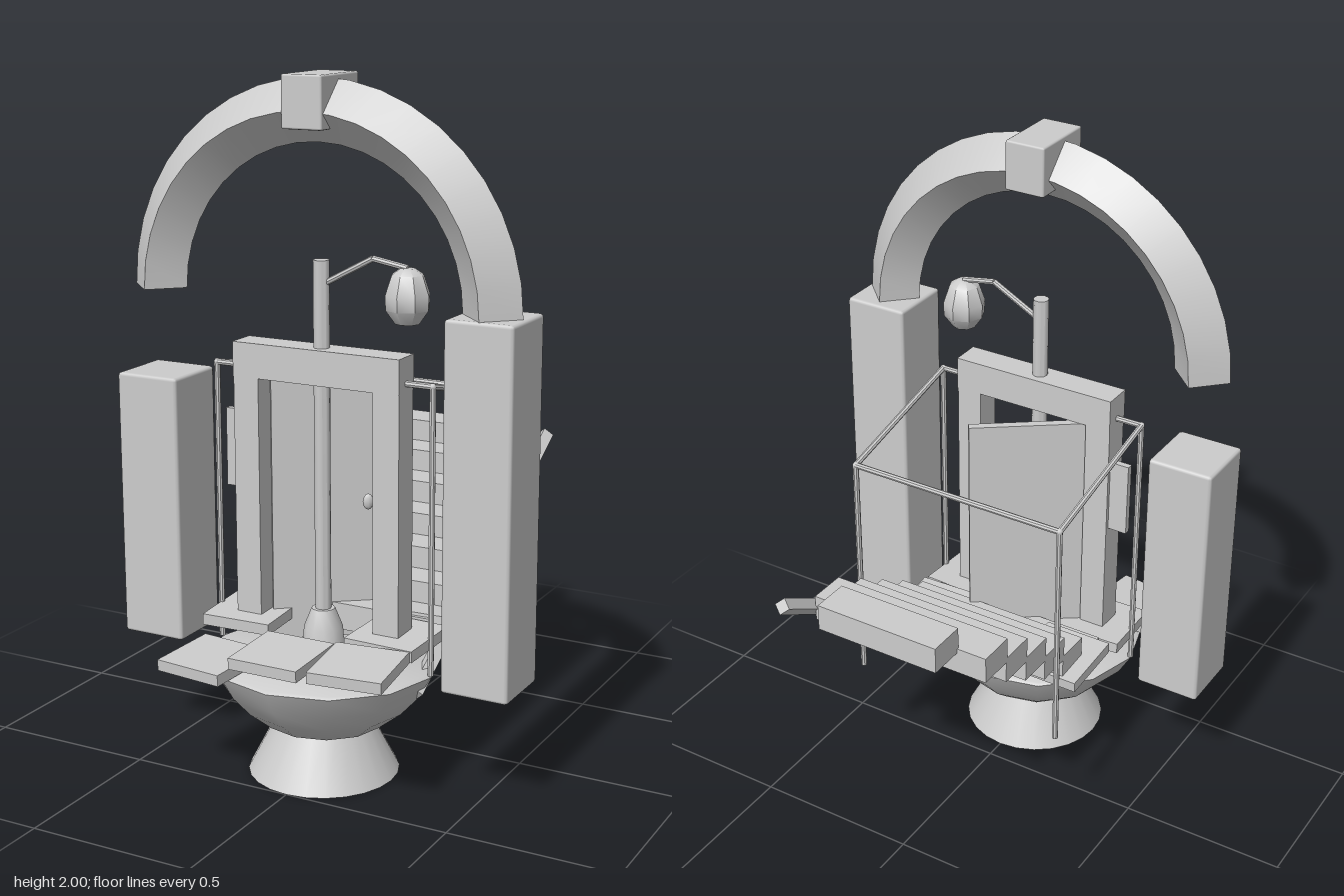
import * as THREE from 'three';
import { toCreasedNormals } from 'three/addons/utils/BufferGeometryUtils.js';
import { RoundedBoxGeometry } from 'three/addons/geometries/RoundedBoxGeometry.js';

const CZ = 0.28; // depth of the gateway plane

export function createModel() {
  const model = new THREE.Group();
  const stone = new THREE.MeshStandardMaterial({ color: 0xcccccc });
  stone.name = 'pale grey';

  const add = (name, geometry, x = 0, y = 0, z = 0, parent = model) => {
    const mesh = new THREE.Mesh(geometry, stone);
    mesh.name = name;
    mesh.position.set(x, y, z);
    parent.add(mesh);
    return mesh;
  };
  const box = (name, w, h, d, x, y, z, parent) =>
    add(name, new THREE.BoxGeometry(w, h, d), x, y, z, parent);
  const lathe = (pts, n) => toCreasedNormals(
    new THREE.LatheGeometry(pts.map(p => new THREE.Vector2(...p)), n), 0.7);
  // Straight rod between two points
  const rod = (name, a, b, r, sides = 8) => {
    const p = new THREE.Vector3(...a), q = new THREE.Vector3(...b);
    const dir = q.clone().sub(p);
    const mesh = add(name, toCreasedNormals(
      new THREE.CylinderGeometry(r, r, dir.length(), sides), 0.9));
    mesh.position.copy(p).add(q).multiplyScalar(0.5);
    mesh.quaternion.setFromUnitVectors(new THREE.Vector3(0, 1, 0), dir.normalize());
    return mesh;
  };

  // Pedestal and bowl
  add('pedestal', new THREE.CylinderGeometry(0.137, 0.22, 0.16, 24), 0, 0.08, CZ);
  const bowl = add('bowl', lathe([[0, 0.155], [0.18, 0.155], [0.25, 0.21],
    [0.305, 0.27], [0.345, 0.34], [0.335, 0.347], [0, 0.347]], 12), 0, 0, CZ);
  bowl.scale.z = 0.94;

  // Loose paving boards: x, y, z, turn, tilt
  const boards = [
    [-0.235, 0.367, 0.51, -0.11, 0.05], [-0.003, 0.42, 0.512, 0, 0.04], [0.237, 0.43, 0.51, 0.11, 0.05],
    [-0.235, 0.435, 0.28, 0.04, 0.03], [0.235, 0.44, 0.28, -0.04, 0.03],
    [-0.228, 0.45, 0.04, 0, -0.07], [0, 0.44, 0.05, 0, -0.07], [0.23, 0.45, 0.05, 0.04, -0.07],
  ];
  for (const [x, y, z, turn, tilt] of boards) {
    const board = box('pavingBoard', 0.215, 0.033, 0.215, x, y, z);
    board.rotation.set(tilt, turn, 0, 'YXZ');
  }

  // Unequal pillars
  add('tallPillar', new RoundedBoxGeometry(0.2, 1.04, 0.205, 1, 0.01), 0.52, 0.865, CZ);
  add('shortPillar', new RoundedBoxGeometry(0.2, 0.79, 0.205, 1, 0.01), -0.52, 0.74, CZ);

  // Diamond-section arch and keystone
  add('arch', toCreasedNormals(new THREE.TorusGeometry(0.52, 0.087, 4, 20, Math.PI), 0.6), 0, 1.383, CZ + 0.01);
  add('keystone', new RoundedBoxGeometry(0.124, 0.145, 0.21, 1, 0.006), 0, 1.9275, CZ);

  // Door frame
  box('lintel', 0.525, 0.1, 0.09, 0, 1.2, CZ);
  for (const s of [-1, 1]) box('doorPost', 0.08, 0.74, 0.085, s * 0.222, 0.78, CZ);

  // Door standing ajar on its hinge
  const door = new THREE.Group();
  door.name = 'door';
  door.position.set(-0.18, 0, 0.26);
  door.rotation.y = 0.635;
  model.add(door);
  box('doorLeaf', 0.355, 0.79, 0.025, 0.178, 0.755, 0, door);
  const knob = add('doorKnob', new THREE.CylinderGeometry(0.009, 0.009, 0.03, 8), 0.275, 0.775, 0.025, door);
  knob.rotation.x = Math.PI / 2;
  add('doorHandle', new THREE.SphereGeometry(0.016, 8, 6), 0.275, 0.775, 0.042, door).scale.set(1, 1.5, 0.6);

  // Small panel beside the door frame
  box('sidePanel', 0.07, 0.23, 0.02, -0.287, 0.925, CZ - 0.02);

  // Lamp post with bent arm and lantern
  rod('lampPost', [0, 0.345, CZ], [0, 1.495, CZ], 0.023, 12);
  add('lampBase', lathe([[0, 0], [0.062, 0], [0.056, 0.09], [0.034, 0.145], [0, 0.145]], 12), 0, 0.345, CZ);
  const arm = [[0.01, 1.43, CZ], [0.16, 1.51, CZ], [0.265, 1.492, CZ]];
  for (let i = 0; i < 2; i++) rod('lampArm', arm[i], arm[i + 1], 0.009);
  add('lantern', lathe([[0, 1.335], [0.035, 1.342], [0.062, 1.38], [0.064, 1.42],
    [0.045, 1.475], [0.02, 1.492], [0, 1.492]], 8), 0.265, 0, CZ);

  // Sloping canopy frame on four thin posts
  const corners = [[-0.343, 1.175, CZ], [0.343, 1.175, CZ], [0.343, 1.066, -0.193], [-0.343, 1.066, -0.193]];
  corners.forEach((c, i) => {
    rod('railBar', c, corners[(i + 1) % 4], 0.009);
    rod('railPost', [c[0], 0.345, c[2]], c, 0.009);
    add('railJoint', new THREE.SphereGeometry(0.01, 8, 6), ...c);
  });

  // Staircase rising to the back, with a narrower last step
  for (let i = 0; i < 7; i++) {
    box('step', i === 6 ? 0.39 : 0.575, 0.08, 0.115, 0, 0.425 + i * 0.0663, 0.11 - i * 0.1085);
  }
  rod('stairBeam', [0.304, 0.292, 0.3], [0.304, 0.832, -0.62], 0.025, 4);

  return model;
}
